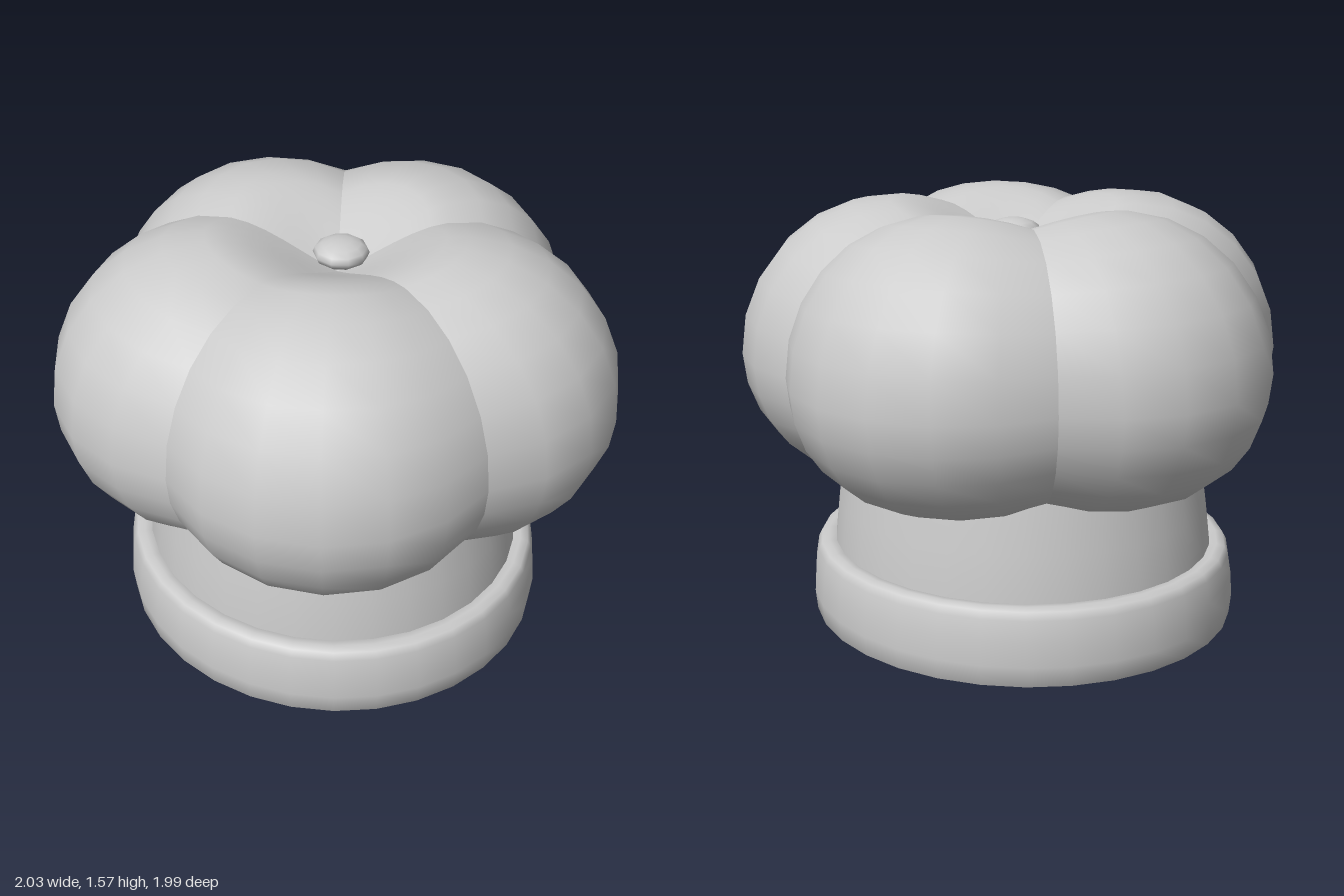
import * as THREE from 'three';

const CENTRE_Z = 0.032; // axis of the crown
const LOBE = { dist: 0.424, radius: 0.61, y: 1.0, top: 0.57, bottom: 0.44 };

function part(name, geometry) {
  const mesh = new THREE.Mesh(geometry, new THREE.MeshStandardMaterial({ color: 0xcccccc, side: THREE.DoubleSide }));
  mesh.name = name;
  return mesh;
}

// Crown outline [radius, y] from the axis out, at angle a from the middle of a lobe
function lobeProfile(a) {
  const k = Math.sqrt(LOBE.radius ** 2 - (LOBE.dist * Math.sin(a)) ** 2);
  const edge = LOBE.dist * Math.cos(a) + k;
  const scale = k / LOBE.radius;
  const peak = edge * 0.45, under = edge * 0.6;
  const peakY = LOBE.y + LOBE.top * scale, underY = LOBE.y - LOBE.bottom * scale;
  const points = [];
  // dip from the centre up to the peak
  for (let i = 0; i < 6; i++) {
    const s = 1 - i / 6;
    points.push([peak * (1 - s), peakY - (peakY - 1.385) * s * s * (2 - s)]);
  }
  // rounded upper shoulder
  for (let i = 0; i < 6; i++) {
    const t = (1 - i / 6) * Math.PI / 2;
    points.push([peak + (edge - peak) * Math.cos(t), LOBE.y + (peakY - LOBE.y) * Math.sin(t)]);
  }
  // rounded underside
  for (let i = 0; i <= 6; i++) {
    const t = (i / 6) * Math.PI / 2;
    points.push([under + (edge - under) * Math.cos(t), LOBE.y - (LOBE.y - underY) * Math.sin(t)]);
  }
  // lip turned inward over the neck
  points.push([edge * 0.43, underY + 0.01]);
  return points;
}

// One fifth of the puffy crown
function lobeGeometry(cols = 6) {
  const positions = [], index = [];
  let n = 0;
  for (let i = 0; i <= cols; i++) {
    const a = (i / cols - 0.5) * (Math.PI * 2 / 5);
    const profile = lobeProfile(a);
    n = profile.length;
    for (const [r, y] of profile) positions.push(r * Math.sin(a), y, -r * Math.cos(a));
  }
  for (let i = 0; i < cols; i++) {
    for (let j = 0; j < n - 1; j++) {
      const p = i * n + j;
      if (j > 0) index.push(p, p + n, p + 1);
      index.push(p + n, p + n + 1, p + 1);
    }
  }
  const g = new THREE.BufferGeometry();
  g.setAttribute('position', new THREE.Float32BufferAttribute(positions, 3));
  g.setIndex(index);
  g.computeVertexNormals();
  return g;
}

// Slightly oval band turned from a profile of [radius, y] pairs
function oval(profile, segments = 32) {
  const g = new THREE.LatheGeometry(profile.map(([r, y]) => new THREE.Vector2(r, y)), segments);
  g.scale(1, 1, 1.045);
  g.translate(-0.01, 0, 0.013);
  return g;
}

export function createModel() {
  const model = new THREE.Group();
  model.name = 'puffyHat';

  // Crown of five lobes, one pointing straight back
  const crown = new THREE.Group();
  crown.name = 'crown';
  crown.position.z = CENTRE_Z;
  const lobe = lobeGeometry();
  for (let i = 0; i < 5; i++) {
    const mesh = part('crownLobe' + (i + 1), lobe);
    mesh.rotation.y = i * Math.PI * 2 / 5;
    crown.add(mesh);
  }
  model.add(crown);

  // Small button in the dip on top
  const button = part('topButton', new THREE.SphereGeometry(0.1, 10, 8));
  button.scale.y = 0.48;
  button.position.set(0.02, 1.455, CENTRE_Z - 0.007);
  model.add(button);

  // Thin tapering neck between brim and crown
  model.add(part('neckBand', oval([[0.71, 0.18], [0.702, 0.3], [0.685, 0.45], [0.655, 0.635]])));

  // Thick rounded brim, open through the middle
  model.add(part('brimRing', oval([
    [0.645, 0.012], [0.755, 0.004], [0.783, 0.016], [0.79, 0.09], [0.784, 0.18],
    [0.772, 0.255], [0.758, 0.282], [0.73, 0.29], [0.69, 0.285], [0.665, 0.255],
    [0.648, 0.2], [0.637, 0.1], [0.638, 0.03], [0.645, 0.012],
  ])));

  return model;
}
